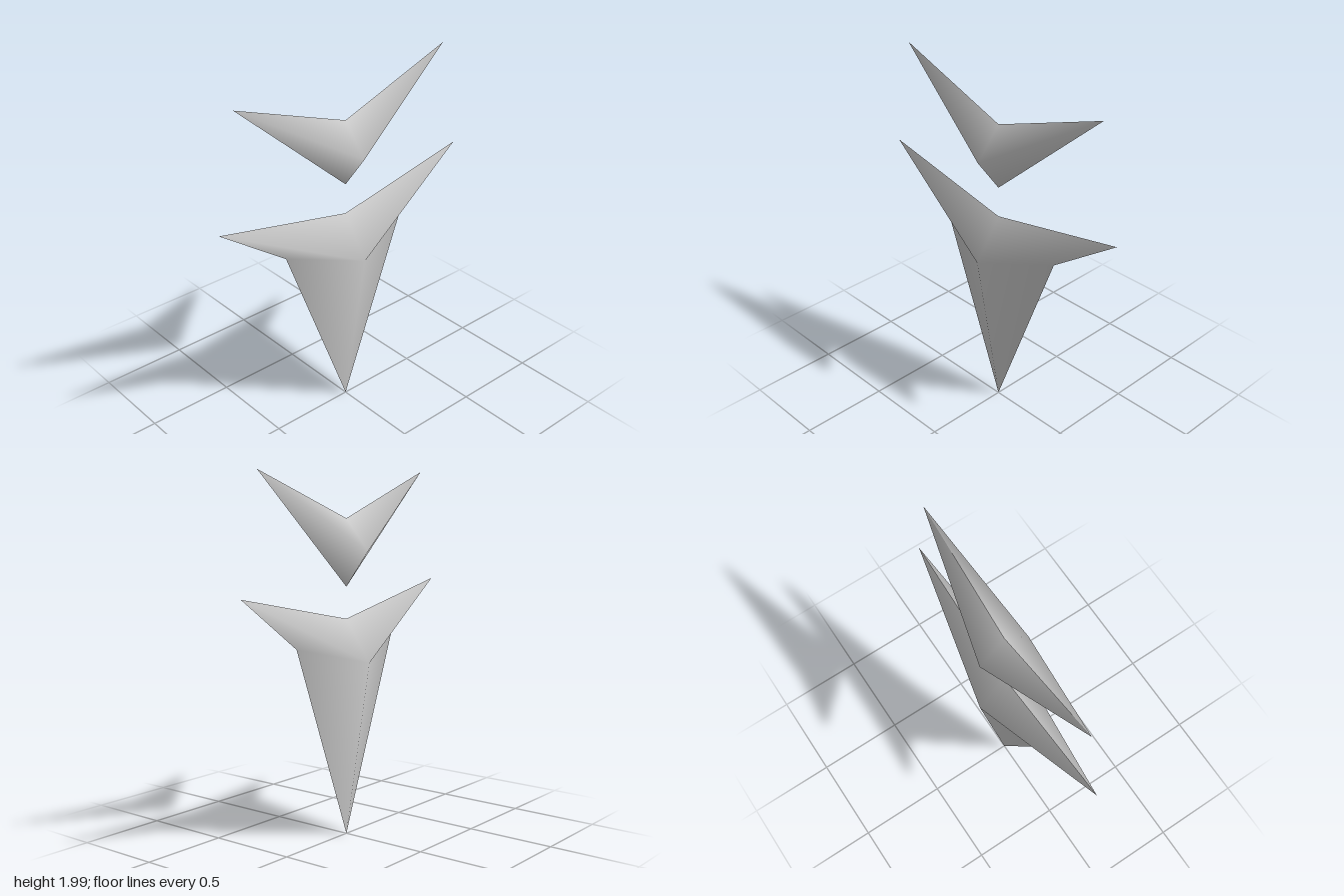
import * as THREE from 'three';

// One half of a faceted blade: a fan from the side peak to the outline.
// The outline is [z, y], counter-clockwise as seen from +x.
function bladeSide(outline, peakX, peakY, side) {
  const n = outline.length;
  const points = [side * peakX, peakY, 0];
  for (const [z, y] of outline) points.push(0, y, z);
  const index = [];
  for (let i = 0; i < n; i++) {
    const a = 1 + i, b = 1 + (i + 1) % n;
    index.push(0, ...(side > 0 ? [a, b] : [b, a]));
  }
  const geometry = new THREE.BufferGeometry();
  geometry.setAttribute('position', new THREE.Float32BufferAttribute(points, 3));
  geometry.setIndex(index);
  geometry.computeVertexNormals(); // smooth within a side, sharp at the rim
  return geometry;
}

function blade(name, outline, peakX, peakY, material) {
  const group = new THREE.Group();
  group.name = name;
  for (const side of [1, -1]) {
    const mesh = new THREE.Mesh(bladeSide(outline, peakX, peakY, side), material);
    mesh.name = side > 0 ? 'leftSide' : 'rightSide';
    group.add(mesh);
  }
  return group;
}

export function createModel() {
  const material = new THREE.MeshStandardMaterial({ color: 0xcccccc });
  const model = new THREE.Group();
  model.name = 'crystalEmblem';

  // Upper V-shaped blade
  const upper = [[-0.69, 2], [0, 1.75], [0.69, 2], [0, 1.385]];
  model.add(blade('upperChevron', upper, 0.145, 1.58, material));

  // Lower winged spike
  const lower = [[-0.815, 1.38], [0, 1.212], [0.815, 1.38], [0.41, 1.09], [0, 0.01], [-0.41, 1.09]];
  model.add(blade('lowerSpike', lower, 0.157, 0.985, material));

  return model;
}
